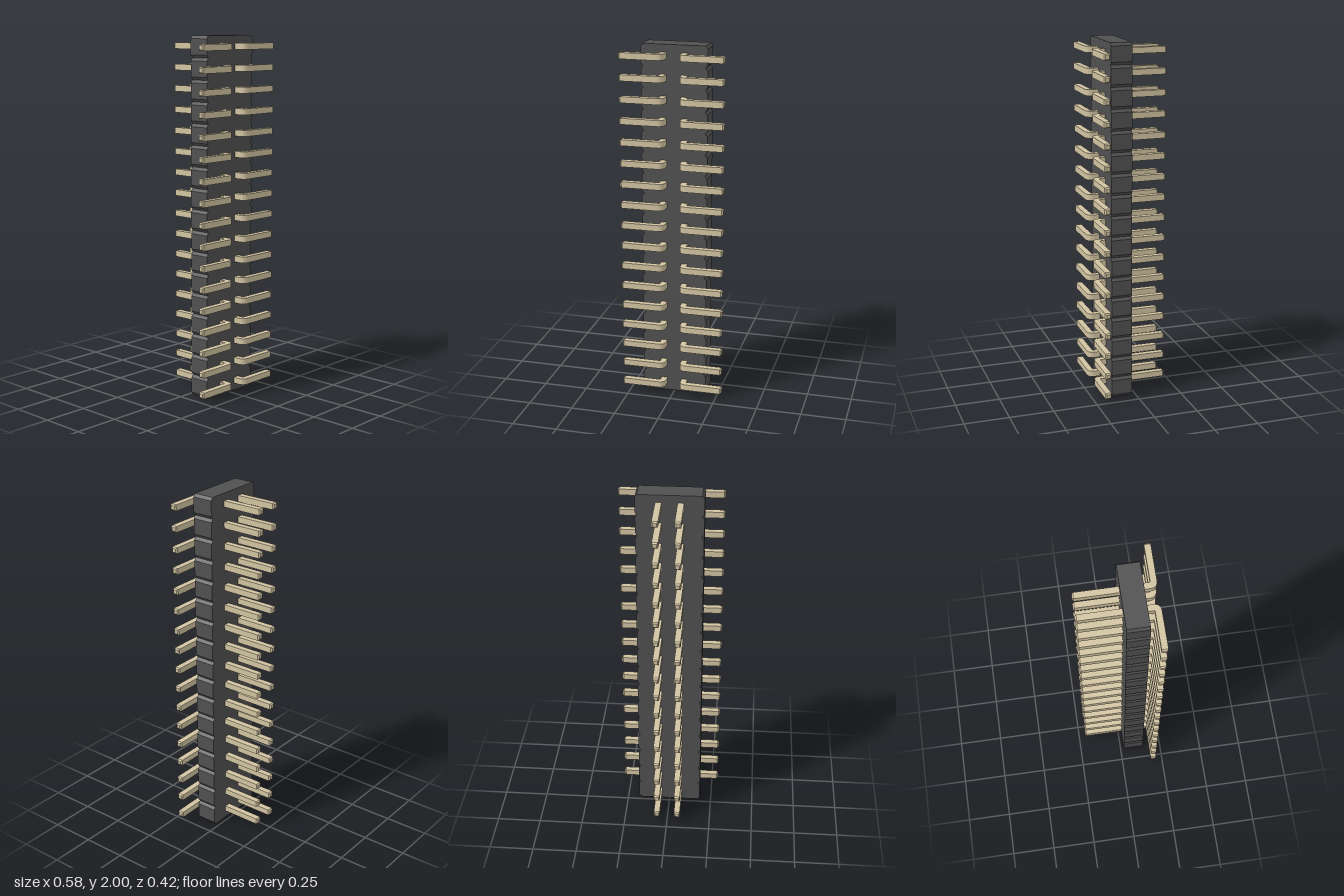
import * as THREE from 'three';
import { toCreasedNormals } from 'three/addons/utils/BufferGeometryUtils.js';

const COUNT = 17;
const PITCH = 2 / COUNT;

// Housing: a stack of units whose side corners are chamfered, extruded along z
function housingGeometry() {
  const w = 0.183, cx = 0.012, cy = 0.016;
  const right = [];
  for (let i = 0; i < COUNT; i++) {
    const y0 = i * PITCH, y1 = y0 + PITCH;
    if (i === 0) right.push([w - cx, y0]);
    right.push([w, y0 + cy], [w, y1 - cy], [w - cx, y1]);
  }
  const left = right.map(([x, y]) => [-x, y]).reverse();
  const outline = [...right, ...left].map(([x, y]) => new THREE.Vector2(x, y));
  const geometry = new THREE.ExtrudeGeometry(new THREE.Shape(outline), { depth: 0.118, bevelEnabled: false });
  geometry.translate(0, 0, 0.022);
  return geometry;
}

// Pin: square cross-sections along an L path, side = 1 bends to +x, -1 to -x
function pinGeometry(side) {
  const t = 0.034, h = t / 2, tip = 0.0105, inX = 0.076, inZ = 0.176;
  const inset = h - tip;
  // Each section: inner x, inner z, outer x, outer z, half height
  const sections = [
    [inX - inset, -0.212, inX - t + inset, -0.212, tip],
    [inX, -0.204, inX - t, -0.204, h],
  ];
  const steps = 8;
  for (let i = 0; i <= steps; i++) {
    const a = (i / steps) * Math.PI / 2;
    sections.push([inX, inZ, inX - t * Math.cos(a), inZ + t * Math.sin(a), h]);
  }
  sections.push(
    [0.28, inZ, 0.28, inZ + t, h],
    [0.288, inZ + inset, 0.288, inZ + t - inset, tip],
  );

  const positions = [], index = [];
  for (const [ax, az, bx, bz, hh] of sections) {
    const ring = [[ax, -hh, az], [ax, hh, az], [bx, hh, bz], [bx, -hh, bz]];
    if (side < 0) ring.reverse();
    for (const [x, y, z] of ring) positions.push(side * x, y, z);
  }
  for (let s = 0; s < sections.length - 1; s++) {
    const bend = s >= 2 && s < 2 + steps;
    for (let j = 0; j < 4; j++) {
      // The inside of the bend is a single sharp edge
      if (bend && j === (side > 0 ? 0 : 2)) continue;
      const k = (j + 1) % 4;
      const a = s * 4 + j, b = s * 4 + k, c = b + 4, d = a + 4;
      index.push(a, b, c, a, c, d);
    }
  }
  const e = (sections.length - 1) * 4;
  index.push(0, 2, 1, 0, 3, 2, e, e + 1, e + 2, e, e + 2, e + 3);

  const geometry = new THREE.BufferGeometry();
  geometry.setAttribute('position', new THREE.Float32BufferAttribute(positions, 3));
  geometry.setIndex(index);
  return toCreasedNormals(geometry, 0.4);
}

export function createModel() {
  const model = new THREE.Group();
  model.name = 'pinHeader';
  const plastic = new THREE.MeshStandardMaterial({ color: 0x505050 });
  const metal = new THREE.MeshStandardMaterial({ color: 0xd2c4a2 });

  const housing = new THREE.Mesh(housingGeometry(), plastic);
  housing.name = 'housing';
  model.add(housing);

  // Two mirrored columns of bent pins
  for (const side of [1, -1]) {
    const column = new THREE.Group();
    column.name = side > 0 ? 'leftPins' : 'rightPins';
    const geometry = pinGeometry(side);
    for (let i = 0; i < COUNT; i++) {
      const pin = new THREE.Mesh(geometry, metal);
      pin.name = 'pin';
      pin.position.y = (i + 0.5) * PITCH;
      column.add(pin);
    }
    model.add(column);
  }
  return model;
}
